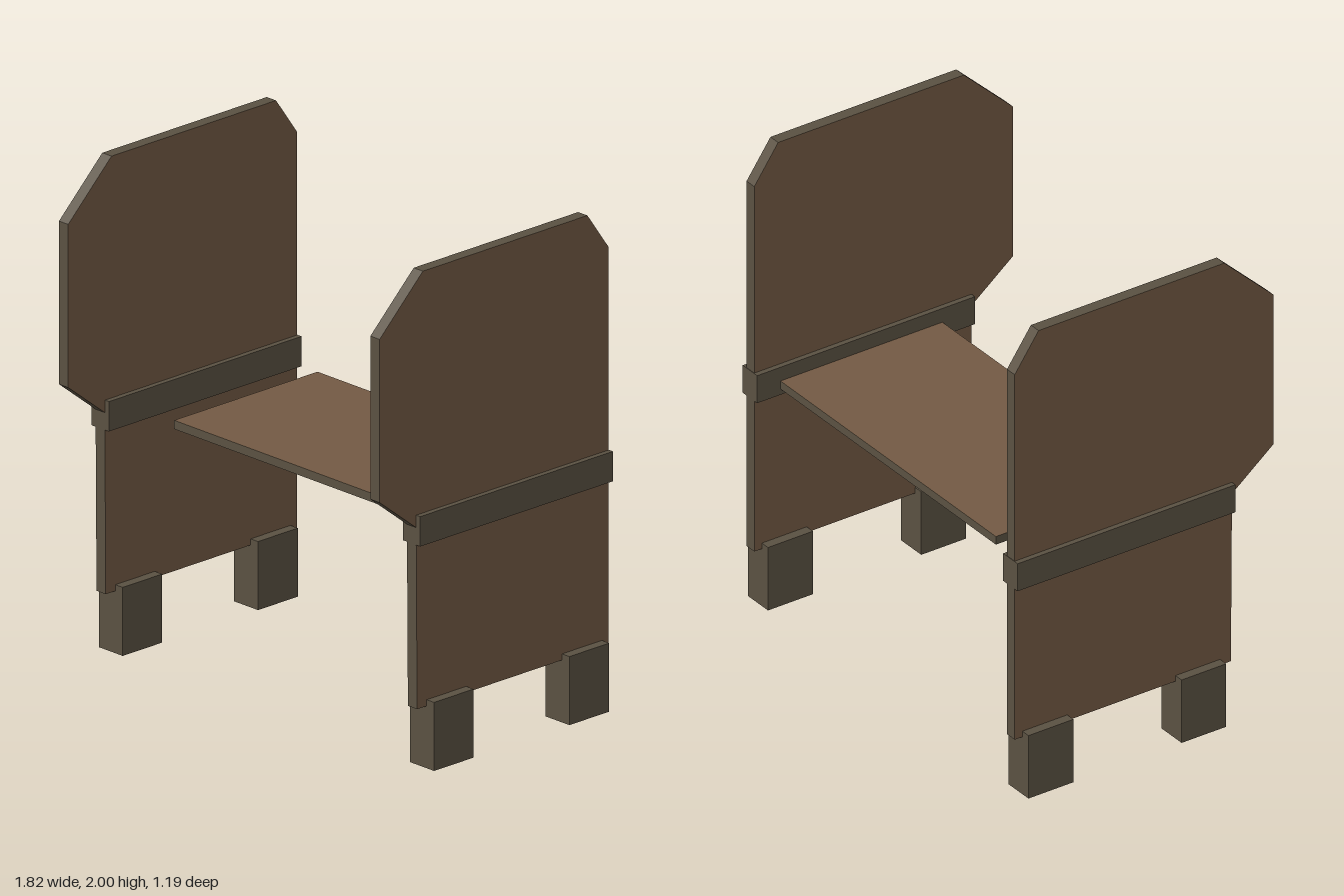
import * as THREE from 'three';

export function createModel() {
  const root = new THREE.Group();
  root.name = 'panelBench';
  const brown = new THREE.MeshStandardMaterial({ color: 0x735a44 });
  brown.name = 'brown board';
  const grey = new THREE.MeshStandardMaterial({ color: 0x5a5142 });
  grey.name = 'grey trim';

  // Box given by its minimum and maximum corners
  function box(name, parent, min, max, material) {
    const size = max.map((v, i) => v - min[i]);
    const mesh = new THREE.Mesh(new THREE.BoxGeometry(...size), material);
    mesh.position.set(...max.map((v, i) => (v + min[i]) / 2));
    mesh.name = name;
    parent.add(mesh);
  }

  // Side panel outline as (z, y): narrow base, wider chamfered top
  const outline = new THREE.Shape([
    [-0.595, 0.25], [0.4, 0.25], [0.405, 0.98], [0.595, 1.13],
    [0.595, 1.785], [0.37, 2], [-0.485, 2], [-0.595, 1.845],
  ].map(([z, y]) => new THREE.Vector2(z, y)));
  const panelGeometry = new THREE.ExtrudeGeometry(outline, { depth: 0.05, bevelEnabled: false });
  panelGeometry.translate(0, 0, -0.025).rotateY(-Math.PI / 2);

  for (const side of [1, -1]) {
    const end = new THREE.Group();
    end.name = side > 0 ? 'leftEnd' : 'rightEnd';
    end.position.x = 0.845 * side;
    root.add(end);

    // Brown faces with grey edges
    const panel = new THREE.Mesh(panelGeometry, [brown, grey]);
    panel.name = 'sidePanel';
    end.add(panel);

    // Rail wrapped around the panel, and two block feet
    box('rail', end, [-0.047, 0.91, -0.597], [0.047, 1.03, 0.405], grey);
    box('frontFoot', end, [-0.065, 0, 0.145], [0.065, 0.275, 0.35], grey);
    box('backFoot', end, [-0.065, 0, -0.56], [0.065, 0.275, -0.353], grey);
  }

  // Shelf fixed to the left end only: brown top and underside, grey edges
  box('shelf', root, [-0.6, 0.935, -0.49], [0.82, 0.97, 0.255],
    [grey, grey, brown, brown, grey, grey]);

  return root;
}
